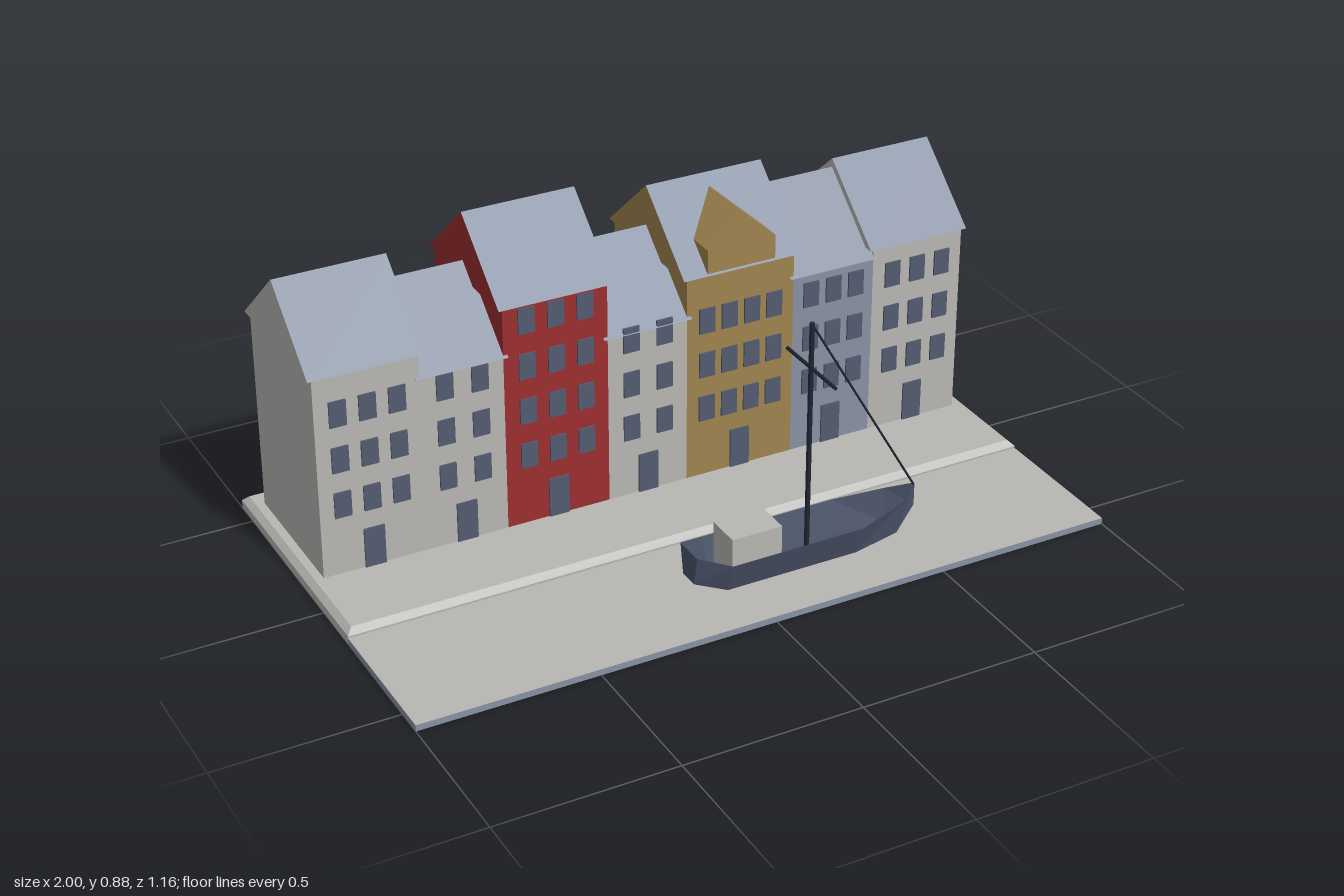
import * as THREE from 'three';

const mat = (name, color, side = THREE.FrontSide) => {
  const m = new THREE.MeshStandardMaterial({ color, side, flatShading: true });
  m.name = name;
  return m;
};

export function createModel() {
  const model = new THREE.Group();
  model.name = 'harbourRow';
  const stone = mat('stone', 0xb8b7b3);
  const slate = mat('slate', 0x8892a4);
  const red = mat('red', 0x9c2e30);
  const ochre = mat('ochre', 0xa08450);
  const glass = mat('darkGlass', 0x525b70);
  const hullPaint = mat('hullBlue', 0x4a5369, THREE.DoubleSide);
  const tar = mat('tar', 0x1f2532);

  const add = (name, geo, material, x = 0, y = 0, z = 0, parent = model) => {
    const m = new THREE.Mesh(geo, material);
    m.name = name;
    m.position.set(x, y, z);
    parent.add(m);
    return m;
  };
  const polygon = pts => new THREE.Shape(pts.map(p => new THREE.Vector2(...p)));
  const extrude = (pts, depth) =>
    new THREE.ExtrudeGeometry(polygon(pts), { depth, bevelEnabled: false });

  // Water slab with a pale top, and the quay with a chamfered coping
  add('water', new THREE.BoxGeometry(2, 0.018, 0.418),
    [slate, slate, stone, slate, slate, slate], 0, 0.009, 0.371);
  add('quay', new THREE.BoxGeometry(2, 0.024, 0.74), stone, 0, 0.012, -0.208);
  const coping = new THREE.BoxGeometry(2, 0.016, 0.74);
  const cp = coping.attributes.position;
  for (let i = 0; i < cp.count; i++) {
    if (cp.getY(i) > 0) {
      cp.setX(i, cp.getX(i) - Math.sign(cp.getX(i)) * 0.016);
      cp.setZ(i, cp.getZ(i) - Math.sign(cp.getZ(i)) * 0.016);
    }
  }
  coping.computeVertexNormals();
  add('quayCoping', coping, stone, 0, 0.032, -0.208);

  // Houses: left edge, right edge, eave height, window columns, rows, wall, front
  const houses = [
    [-0.96, -0.67, 0.622, 3, 3, stone, stone],
    [-0.67, -0.435, 0.552, 2, 3, stone, stone],
    [-0.435, -0.135, 0.69, 3, 4, red, red],
    [-0.135, 0.1, 0.53, 2, 3, stone, stone],
    [0.1, 0.424, 0.645, 4, 3, ochre, ochre],
    [0.424, 0.674, 0.573, 3, 3, stone, slate],
    [0.674, 0.955, 0.598, 3, 3, stone, stone],
  ];
  const floor = 0.04, midZ = -0.301, depth = 0.418, frontZ = midZ + depth / 2;
  const windowGeo = new THREE.BoxGeometry(0.047, 0.074, 0.006);
  const doorGeo = new THREE.BoxGeometry(0.058, 0.115, 0.006);

  houses.forEach(([x0, x1, eave, cols, rows, wall, front], i) => {
    const house = new THREE.Group();
    house.name = 'house' + (i + 1);
    model.add(house);
    const w = x1 - x0, cx = (x0 + x1) / 2, h = eave - floor;
    add('walls', new THREE.BoxGeometry(w, h, depth),
      [wall, wall, wall, wall, front, wall], cx, floor + h / 2, midZ, house);

    // Gable ends take the wall colour, slopes are slate
    const over = 0.012;
    const roof = extrude([[-0.216, 0], [0.216, 0], [0, 0.19]], w + 2 * over);
    roof.rotateY(Math.PI / 2);
    add('roof', roof, [wall, slate], x0 - over, eave, midZ, house);

    const step = w * 0.84 / cols;
    for (let r = 0; r < rows; r++) {
      for (let c = 0; c < cols; c++) {
        add('window', windowGeo, glass, cx + (c - (cols - 1) / 2) * step,
          0.246 + r * 0.133, frontZ + 0.002, house);
      }
    }
    add('door', doorGeo, glass, cx, floor + 0.0575, frontZ + 0.002, house);
  });

  // Gabled dormer on the ochre house
  add('dormer', extrude([[-0.102, 0], [0.102, 0], [0.102, 0.068], [0, 0.158], [-0.102, 0.068]], 0.19),
    ochre, 0.262, 0.65, -0.279);

  // Boat
  const boat = new THREE.Group();
  boat.name = 'boat';
  boat.position.z = 0.365;
  model.add(boat);

  // Open hull from stations: x, rim half-width, rim height, bottom half-width, bottom height
  const stations = [
    [-0.14, 0.045, 0.135, 0.03, 0.05],
    [-0.055, 0.082, 0.108, 0.055, 0.021],
    [0.33, 0.082, 0.108, 0.055, 0.021],
    [0.47, 0.045, 0.124, 0.028, 0.026],
    [0.537, 0.002, 0.145, 0.002, 0.08],
  ];
  const pos = [], idx = [];
  stations.forEach(([x, rw, ry, bw, by], s) => {
    pos.push(x, ry, rw, x, by, bw, x, by, -bw, x, ry, -rw);
    if (s === 0) return;
    for (let k = 0; k < 3; k++) {
      const a = (s - 1) * 4 + k, b = a + 4;
      idx.push(a, a + 1, b, b, a + 1, b + 1);
    }
  });
  idx.push(0, 2, 1, 0, 3, 2);
  const indexed = new THREE.BufferGeometry();
  indexed.setAttribute('position', new THREE.Float32BufferAttribute(pos, 3));
  indexed.setIndex(idx);
  const hull = indexed.toNonIndexed();
  hull.computeVertexNormals();
  add('hull', hull, hullPaint, 0, 0, 0, boat);

  add('cabin', new THREE.BoxGeometry(0.146, 0.14, 0.1), stone, 0.034, 0.093, -0.002, boat);

  // Mast, yard and forestay
  const spar = (name, a, b, radius) => {
    const from = new THREE.Vector3(...a), to = new THREE.Vector3(...b);
    const dir = to.clone().sub(from);
    const m = add(name, new THREE.CylinderGeometry(radius, radius, dir.length(), 8), tar, 0, 0, 0, boat);
    m.position.copy(from).add(to).multiplyScalar(0.5);
    m.quaternion.setFromUnitVectors(new THREE.Vector3(0, 1, 0), dir.normalize());
  };
  spar('mast', [0.21, 0.022, 0], [0.21, 0.707, 0], 0.007);
  spar('yard', [0.21, 0.578, -0.12], [0.21, 0.578, 0.122], 0.005);
  spar('forestay', [0.21, 0.703, 0], [0.535, 0.142, 0], 0.003);

  return model;
}
